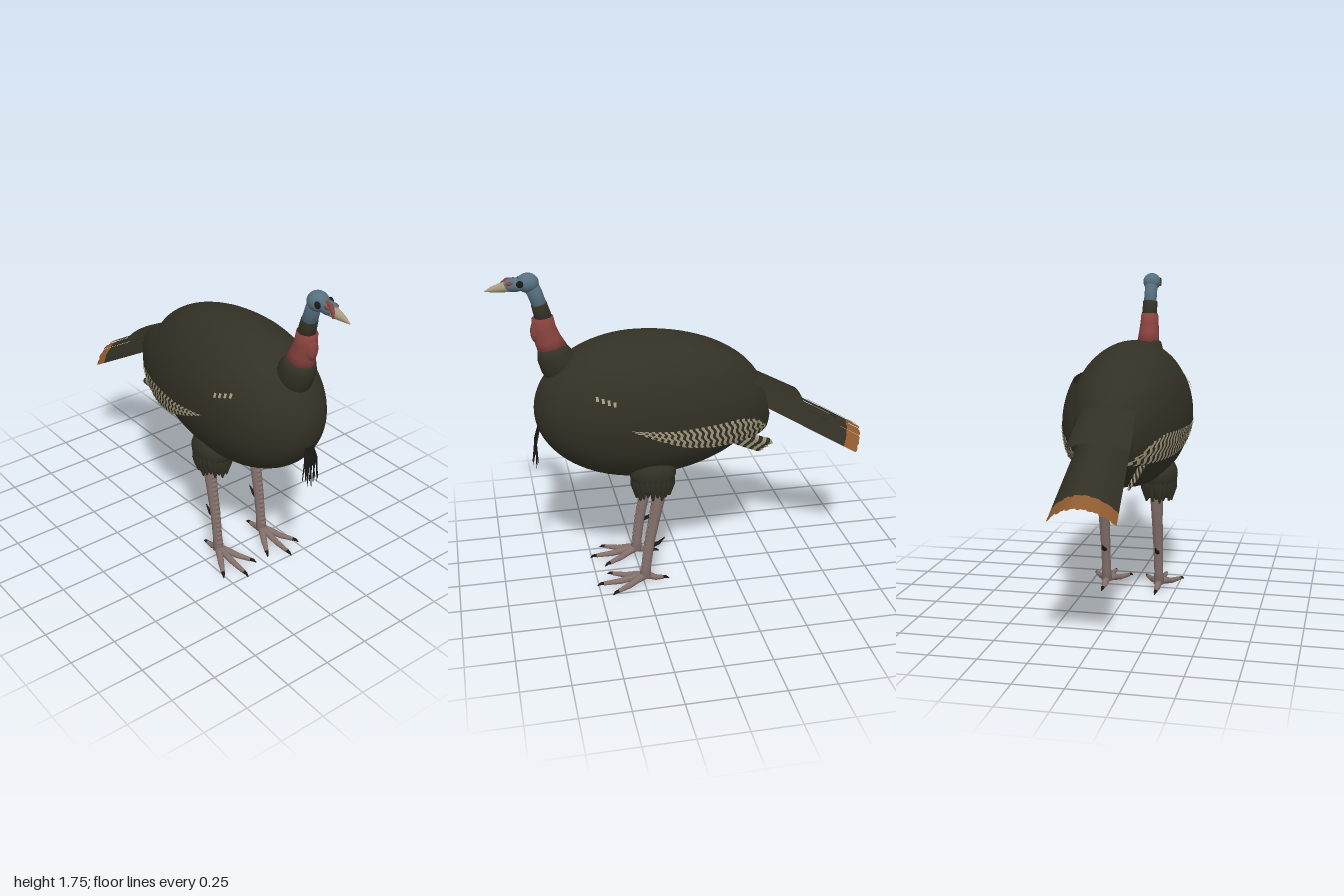
import * as THREE from 'three';
import { mergeVertices, mergeGeometries } from 'three/addons/utils/BufferGeometryUtils.js';

const V = (x, y, z = 0) => new THREE.Vector3(x, y, z);
const mat = (name, color, side = THREE.FrontSide) =>
  Object.assign(new THREE.MeshStandardMaterial({ color, side }), { name });

// Surface from a rule f(u, v) -> Vector3, u and v in 0..1
function grid(nu, nv, f) {
  const pos = [], idx = [];
  for (let i = 0; i <= nu; i++) for (let j = 0; j <= nv; j++) {
    pos.push(...f(i / nu, j / nv).toArray());
    if (i < nu && j < nv) {
      const a = i * (nv + 1) + j, b = a + nv + 1;
      idx.push(a, a + 1, b, a + 1, b + 1, b);
    }
  }
  const g = new THREE.BufferGeometry();
  g.setAttribute('position', new THREE.Float32BufferAttribute(pos, 3));
  g.setIndex(idx);
  const m = mergeVertices(g, 1e-5);
  m.computeVertexNormals();
  return m;
}

// Closed tube through stations [x, y, z, radius in profile, radius across]
function loft(st, sides = 20) {
  const P = st.map(s => V(s[0], s[1], s[2]));
  const last = st.length - 1, all = [0, ...st.keys(), last];
  return grid(all.length - 1, sides, (u, v) => {
    const k = Math.round(u * (all.length - 1)), i = all[k];
    const r = k === 0 || k === all.length - 1 ? 0.001 : 1;
    const t = P[Math.min(i + 1, last)].clone().sub(P[Math.max(i - 1, 0)]).normalize();
    const n = V(0, 0, 1).cross(t).normalize(), b = t.clone().cross(n);
    const a = (v === 1 ? 0 : v) * Math.PI * 2;
    return P[i].clone().addScaledVector(n, r * st[i][3] * Math.cos(a))
      .addScaledVector(b, r * (st[i][4] ?? st[i][3]) * Math.sin(a));
  });
}

const ball = (x, y, z, rx, ry, rz, w = 24) =>
  new THREE.SphereGeometry(1, w, w * 0.7 | 0).scale(rx, ry, rz).translate(x, y, z);

// Piecewise-linear curve through [x, y] pairs
function along(pts, x) {
  for (let i = 1; i < pts.length; i++) if (x <= pts[i][0] || i === pts.length - 1) {
    const [a, b] = [pts[i - 1], pts[i]];
    return a[1] + (b[1] - a[1]) * (x - a[0]) / (b[0] - a[0]);
  }
}

export function createModel() {
  const root = new THREE.Group();
  root.name = 'turkey';
  const dark = mat('dark plumage', 0x333125);
  const sheet = mat('dark feather', 0x323024, THREE.DoubleSide);
  const tan = mat('pale bars', 0xa69c80, THREE.DoubleSide);
  const rust = mat('rust tail tips', 0x8f5a30, THREE.DoubleSide);
  const red = mat('red skin', 0x88423d);
  const blue = mat('blue skin', 0x56707f);
  const leg = mat('leg skin', 0x84706b);
  const horn = mat('horn', 0xa89a7c);
  const black = mat('black', 0x1c1a18);
  const add = (name, geo, m, parent = root) => {
    const o = new THREE.Mesh(geo, m);
    o.name = name;
    parent.add(o);
    return o;
  };

  // Egg-shaped body, longer towards the tail
  const body = new THREE.SphereGeometry(1, 64, 44).rotateZ(Math.PI / 2);
  const p = body.attributes.position;
  for (let i = 0; i < p.count; i++) {
    const x = p.getX(i);
    p.setXYZ(i, 0.24 + x * (x > 0 ? 0.55 : 0.68), 1.01 + p.getY(i) * 0.398, p.getZ(i) * 0.319);
  }
  body.computeVertexNormals();
  add('body', body, dark);

  // Neck in coloured bands
  add('neckBase', loft([[0.6, 1.18, 0, 0.1, 0.08], [0.65, 1.27, 0, 0.1, 0.09], [0.675, 1.32, 0, 0.088, 0.088], [0.685, 1.36, 0, 0.072, 0.075]]), dark);
  add('redNeck', loft([[0.675, 1.34, 0, 0.076, 0.066], [0.7, 1.4, 0, 0.068, 0.06], [0.715, 1.46, 0, 0.06, 0.054], [0.722, 1.52, 0, 0.055, 0.049]]), red);
  add('caruncle', ball(0.75, 1.445, 0, 0.036, 0.065, 0.036), red);
  add('darkNeckBand', loft([[0.712, 1.5, 0, 0.045, 0.045], [0.735, 1.59, 0, 0.04, 0.042]]), dark);
  add('blueNeck', loft([[0.73, 1.575, 0, 0.037, 0.038], [0.75, 1.64, 0, 0.038, 0.036], [0.775, 1.7, 0, 0.04, 0.04]]), blue);

  // Head
  const head = new THREE.Group();
  head.name = 'head';
  root.add(head);
  add('skull', ball(0.785, 1.702, 0, 0.056, 0.05, 0.051), blue, head);
  add('face', ball(0.85, 1.695, 0, 0.062, 0.035, 0.037), blue, head);
  add('beak', loft([[0.87, 1.69, 0, 0.03, 0.028], [0.92, 1.685, 0, 0.024, 0.021], [0.965, 1.678, 0, 0.014, 0.012], [1, 1.67, 0, 0.002]], 14), horn, head);
  add('snood', loft([[0.85, 1.722, 0.008, 0.01], [0.885, 1.72, 0.014, 0.012], [0.91, 1.7, 0.024, 0.01], [0.917, 1.672, 0.026, 0.006]], 10), red, head);
  for (const s of [1, -1]) {
    add('eye', ball(0.825, 1.707, s * 0.04, 0.019, 0.018, 0.01, 12), black, head);
    add('facePatch', ball(0.872, 1.708, s * 0.025, 0.022, 0.01, 0.011, 10), red, head);
  }

  // Beard of hanging strands
  const strands = [];
  for (let i = 0; i < 13; i++) {
    const z = (i - 6) * 0.0065, end = 0.7 + 0.05 * ((i * 5) % 7) / 7;
    strands.push(loft([[0.772, 0.91, z * 0.6, 0.005], [0.79, 0.84, z, 0.005], [0.795 + 0.015 * Math.sin(i * 2), end, z * 1.1, 0.002]], 5));
  }
  add('beard', mergeGeometries(strands), black);

  // Arched tail: overlapping feathers with rust tips
  const tailAt = (d, t, lift) => { // d: distance along, t: -1..1 across
    const droop = 0.1 * t * t - lift;
    return V(-0.3 - 0.86 * d + 0.5 * droop, 1.172 - 0.507 * d - 0.86 * droop, t * (0.12 + 0.058 * d));
  };
  const tail = new THREE.Group();
  tail.name = 'tail';
  root.add(tail);
  for (let i = 0; i < 13; i++) {
    const c = (i - 6) / 6.5, w = 0.092, lift = (i % 2) * 0.005;
    const piece = (d0, d1) => grid(6, 3, (u, v) => {
      const q = v * 2 - 1, end = u === 1 && d1 > 0.75 ? -0.008 * q * q : 0;
      return tailAt(d0 + (d1 - d0) * u + end, c + q * w, lift);
    });
    add('tailFeather', piece(0, 0.715), sheet, tail);
    add('tailTip', piece(0.715, 0.81 - 0.01 * c * c), rust, tail);
  }
  // Covert plate above the tail root
  add('tailCovert', grid(8, 16, (u, v) => {
    const t = v * 2 - 1, round = u * 0.03 * t ** 6;
    return V(-0.26 - 0.38 * u + round, 1.21 - 0.205 * u - 0.04 * t * t, t * (0.115 + 0.045 * Math.sqrt(u)));
  }), sheet, tail);

  // Wings: shells hugging the flanks
  const top = [[-0.44, 0.95], [-0.4, 1.1], [-0.25, 1.23], [0.3, 1.23], [0.42, 1.19], [0.52, 1.08]];
  const low = [[-0.44, 0.85], [-0.38, 0.84], [-0.1, 0.845], [0.05, 0.87], [0.2, 0.93], [0.33, 0.99], [0.52, 1.06]];
  const barTop = [[-0.44, 0.89], [-0.38, 0.96], [-0.28, 0.99], [0.1, 0.98], [0.34, 1.0]];
  const flank = (x, y, s, lift = 0) => V(x, y, s * (lift + 0.337 *
    Math.sqrt(Math.max(0.04, 1 - ((x - 0.15) / 0.66) ** 2 - ((y - 1) / 0.42) ** 2))));
  for (const s of [1, -1]) {
    const wing = new THREE.Group();
    wing.name = s > 0 ? 'leftWing' : 'rightWing';
    root.add(wing);
    add('wingShell', grid(48, 16, (u, v) => {
      const x = -0.44 + 0.96 * u, a = along(low, x), b = along(top, x);
      return flank(x, a + (b - a) * v + (v === 1 ? 0.004 * Math.sin(u * 120) : 0), s);
    }), sheet, wing);
    // Zigzag pale bars along the flight feathers
    const bars = [];
    for (let i = 0; i < 23; i++) {
      const x0 = -0.425 + i * 0.0325;
      bars.push(grid(10, 1, (u, v) => {
        const x = x0 + v * 0.017 + 0.035 * (0.5 - u) * -1 + 0.007 * Math.sin(u * 15);
        const a = along(low, x0) + 0.004, b = along(barTop, x0);
        return flank(x, a + (b - a) * u, s, 0.005);
      }));
    }
    // Small shoulder marks
    for (let i = 0; i < 4; i++) bars.push(grid(2, 1, (u, v) =>
      flank(0.4 + i * 0.028 + v * 0.014, 1.125 + 0.008 * i + u * 0.024, s, 0.012)));
    add('paleBars', mergeGeometries(bars), tan, wing);
    // Barred wing tips below the rump
    for (let f = 0; f < 3; f++) {
      const from = V(-0.16, 0.89 - f * 0.015, s * (0.2 - f * 0.015));
      const to = V(-0.465 + f * 0.02, 0.775 - f * 0.026, s * (0.155 - f * 0.02));
      for (let k = 0; k < 14; k++) add('wingTipBar', grid(2, 4, (u, v) => {
        const d = (k + u) / 14, q = v * 2 - 1;
        const w = 0.024 * Math.sqrt(Math.max(0, 1 - Math.max(0, (d - 0.85) / 0.15) ** 2));
        const c = from.clone().lerp(to, d - 0.02 * q * q);
        return c.add(V(-0.4 * w * q, 0.9 * w * q, -s * 0.006 * q * q));
      }), k % 2 ? tan : sheet, wing);
    }
  }

  // Legs
  for (const s of [1, -1]) {
    const g = new THREE.Group(), z = s * 0.152;
    g.name = s > 0 ? 'leftLeg' : 'rightLeg';
    root.add(g);
    add('thigh', ball(0.195, 0.68, s * 0.158, 0.125, 0.105, 0.103), dark, g);
    const tufts = [];
    for (let i = 0; i < 22; i++) {
      const a = i / 22 * Math.PI * 2, c = Math.cos(a), d = Math.sin(a), y = 0.53 + 0.035 * ((i * 3) % 5) / 5;
      tufts.push(loft([[0.195 + 0.095 * c, 0.68, s * 0.158 + 0.08 * d, 0.022], [0.195 + 0.098 * c, 0.61, s * 0.158 + 0.08 * d, 0.022], [0.195 + 0.088 * c, y, s * 0.158 + 0.068 * d, 0.006]], 7));
    }
    add('thighFeathers', mergeGeometries(tufts), dark, g);
    const shank = [[0.155, 0.62, z, 0.04, 0.036], [0.16, 0.53, z, 0.036, 0.034], [0.185, 0.4, z, 0.03, 0.03], [0.215, 0.25, z, 0.027, 0.027], [0.235, 0.1, z, 0.026, 0.025], [0.243, 0.03, z, 0.034, 0.03]];
    add('shank', loft(shank), leg, g);
    // Overlapping scales down the front of the shank
    const prof = shank.map(q => [q[1], q[0] + q[3]]).reverse(), scales = [];
    for (let i = 0; i < 18; i++) {
      const y = 0.08 + i * 0.027;
      scales.push(ball(along(prof, y) - 0.006, y, z, 0.01, 0.015, 0.019, 8));
    }
    add('shankScales', mergeGeometries(scales), leg, g);
    add('spur', loft([[0.21, 0.22, z, 0.014], [0.165, 0.235, z, 0.01], [0.13, 0.268, z, 0.002]], 8), black, g);
    // Toes: three forward, one back
    for (const [a, len] of [[0, 0.23], [0.52, 0.19], [-0.52, 0.19], [Math.PI, 0.1]]) {
      const at = (d, y, r) => [0.243 + Math.cos(a) * d * len, y, z + Math.sin(a) * d * len, r];
      add('toe', loft([at(0, 0.038, 0.022), at(0.3, 0.032, 0.019), at(0.6, 0.018, 0.016), at(1, 0.014, 0.011)], 10), leg, g);
      const e = 1 + 0.035 / len;
      add('claw', loft([at(0.97, 0.015, 0.01), at((1 + e) / 2, 0.014, 0.008), at(e, 0.004, 0.002)], 8), black, g);
    }
  }
  return root;
}
